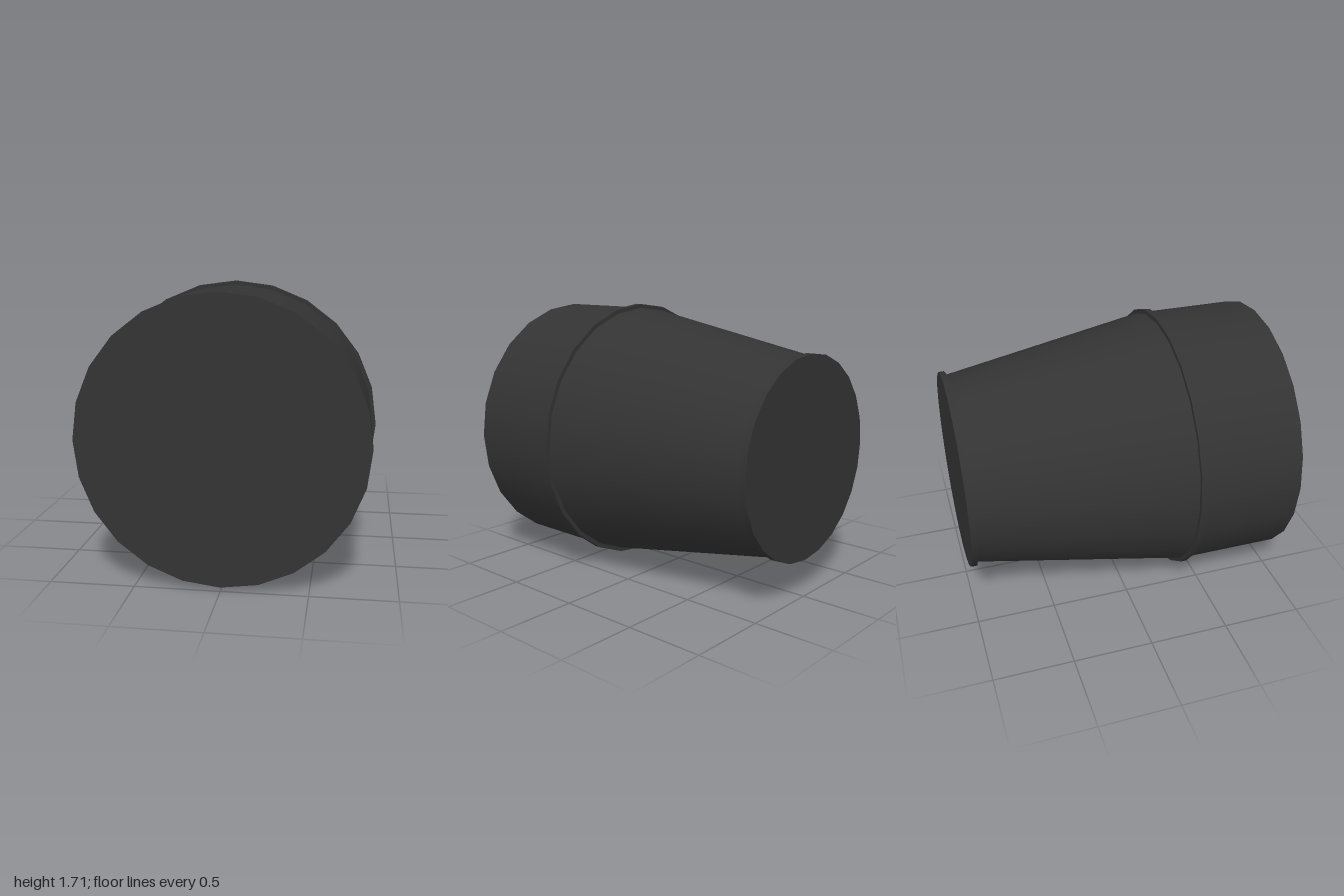
import * as THREE from 'three';

const SIDES = 24;
const AXIS_Y = 0.855; // the widest ring rests on the ground

export function createModel() {
  const group = new THREE.Group();
  const material = new THREE.MeshStandardMaterial({ color: 0x333333 });

  // Round section along z, from zBack to zFront
  function section(name, rBack, rFront, zBack, zFront) {
    const geometry = new THREE.CylinderGeometry(rFront, rBack, zFront - zBack, SIDES);
    geometry.rotateX(Math.PI / 2);
    const mesh = new THREE.Mesh(geometry, material);
    mesh.name = name;
    mesh.position.set(0, AXIS_Y, (zFront + zBack) / 2);
    group.add(mesh);
  }

  section('frontBarrel', 0.832, 0.832, 0.355, 1);
  section('middleRing', 0.855, 0.855, 0.337, 0.374);
  section('taperedBody', 0.595, 0.832, -0.98, 0.355);
  section('rearRing', 0.623, 0.623, -1, -0.963);

  return group;
}
